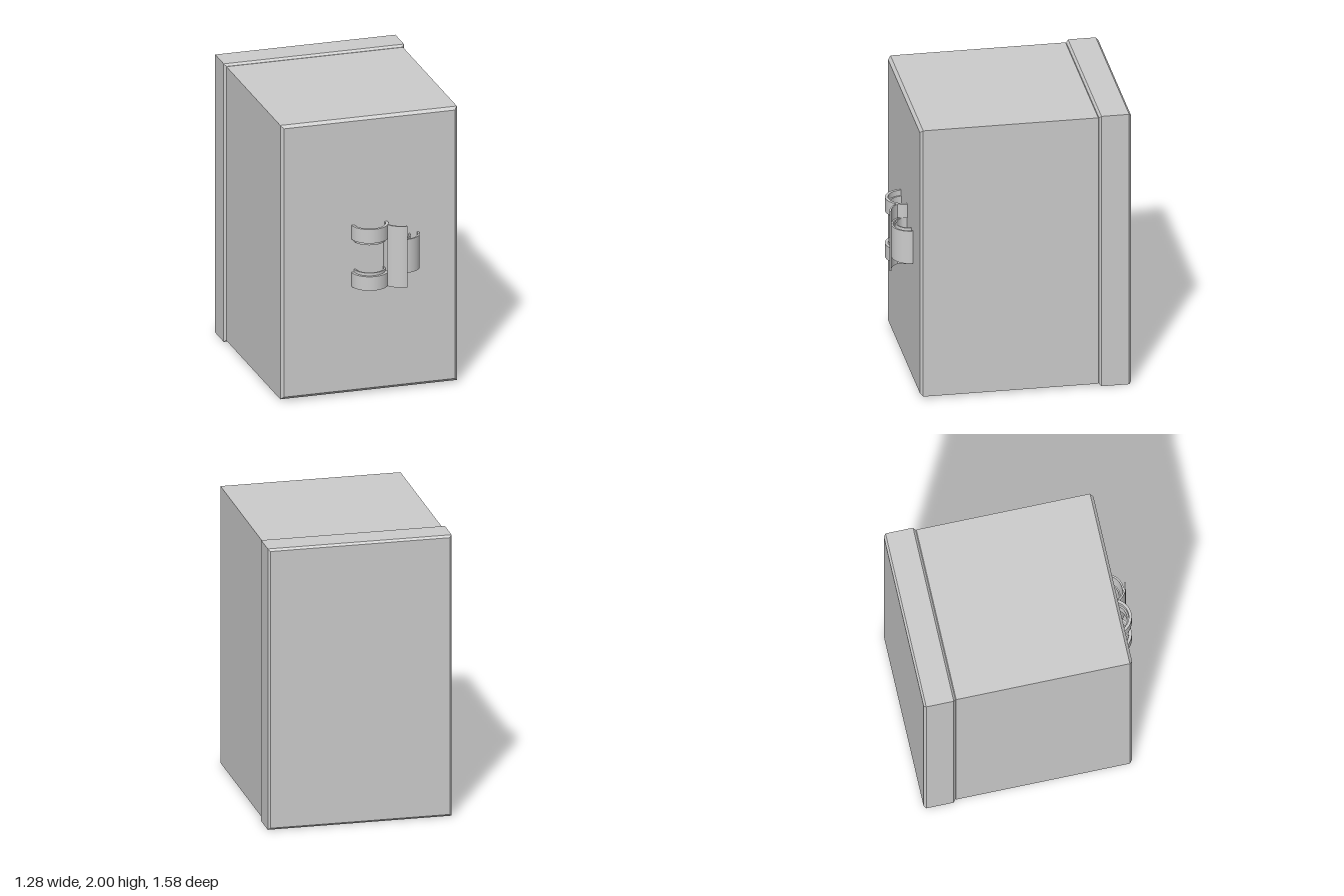
import * as THREE from 'three';

const material = new THREE.MeshStandardMaterial({ color: 0xcccccc });
const WALL = 0.655; // front face of the body

// Box with flat chamfers on every edge
function chamferBox(name, w, h, d, c, y, z) {
  const x = w / 2 - c, v = h / 2 - c;
  const shape = new THREE.Shape([[-x, -v], [x, -v], [x, v], [-x, v]].map(p => new THREE.Vector2(...p)));
  const rim = new THREE.Shape();
  const X = w / 2, Y = h / 2;
  [[-x, -Y], [x, -Y], [X, -v], [X, v], [x, Y], [-x, Y], [-X, v], [-X, -v]]
    .forEach(([a, b], i) => (i ? rim.lineTo(a, b) : rim.moveTo(a, b)));
  const geo = new THREE.ExtrudeGeometry(shape, {
    depth: d - 2 * c, bevelEnabled: true, bevelThickness: c, bevelSize: c, bevelSegments: 1,
  });
  geo.translate(0, 0, -(d - 2 * c) / 2);
  const mesh = new THREE.Mesh(geo, material);
  mesh.name = name;
  mesh.position.set(0, y, z);
  return mesh;
}

// Thin curved strip standing upright: an arc in plan, between two heights
function curvedStrip(name, cx, inner, outer, from, to, y0, y1) {
  const shape = new THREE.Shape();
  shape.absarc(0, 0, outer, from, to, false);
  shape.absarc(0, 0, inner, to, from, true);
  const geo = new THREE.ExtrudeGeometry(shape, { depth: y1 - y0, bevelEnabled: false, curveSegments: 24 });
  geo.rotateX(Math.PI / 2); // shape y becomes z, depth runs downward
  const mesh = new THREE.Mesh(geo, material);
  mesh.name = name;
  mesh.position.set(cx, y1, WALL);
  return mesh;
}

export function createModel() {
  const model = new THREE.Group();
  model.add(chamferBox('body', 1.25, 1.97, 1.24, 0.02, 1, 0.035));
  model.add(chamferBox('backPanel', 1.276, 2, 0.22, 0.015, 1, -0.68));

  const latch = new THREE.Group();
  latch.name = 'latch';
  // Upper and lower hoops, each with a thin liner
  for (const s of [-1, 1]) {
    const mid = 1 + s * 0.17;
    latch.add(curvedStrip('hoop', 0, 0.108, 0.128, 0, Math.PI, mid - 0.05, mid + 0.05));
    const liner = 1 + s * 0.14;
    latch.add(curvedStrip('hoopLiner', 0, 0.097, 0.108, 0, Math.PI, liner - 0.04, liner + 0.04));
  }
  // Tall plate that bridges the hoops and laps over the keeper
  latch.add(curvedStrip('latchPlate', 0.225, 0.125, 0.137, Math.PI / 2, Math.PI * 0.83, 0.78, 1.22));
  // Middle keeper hoop and its liner
  latch.add(curvedStrip('keeper', 0.225, 0.113, 0.125, 0, Math.PI, 0.88, 1.12));
  latch.add(curvedStrip('keeperLiner', 0.193, 0.083, 0.093, 0, Math.PI, 0.885, 1.115));
  model.add(latch);
  return model;
}
